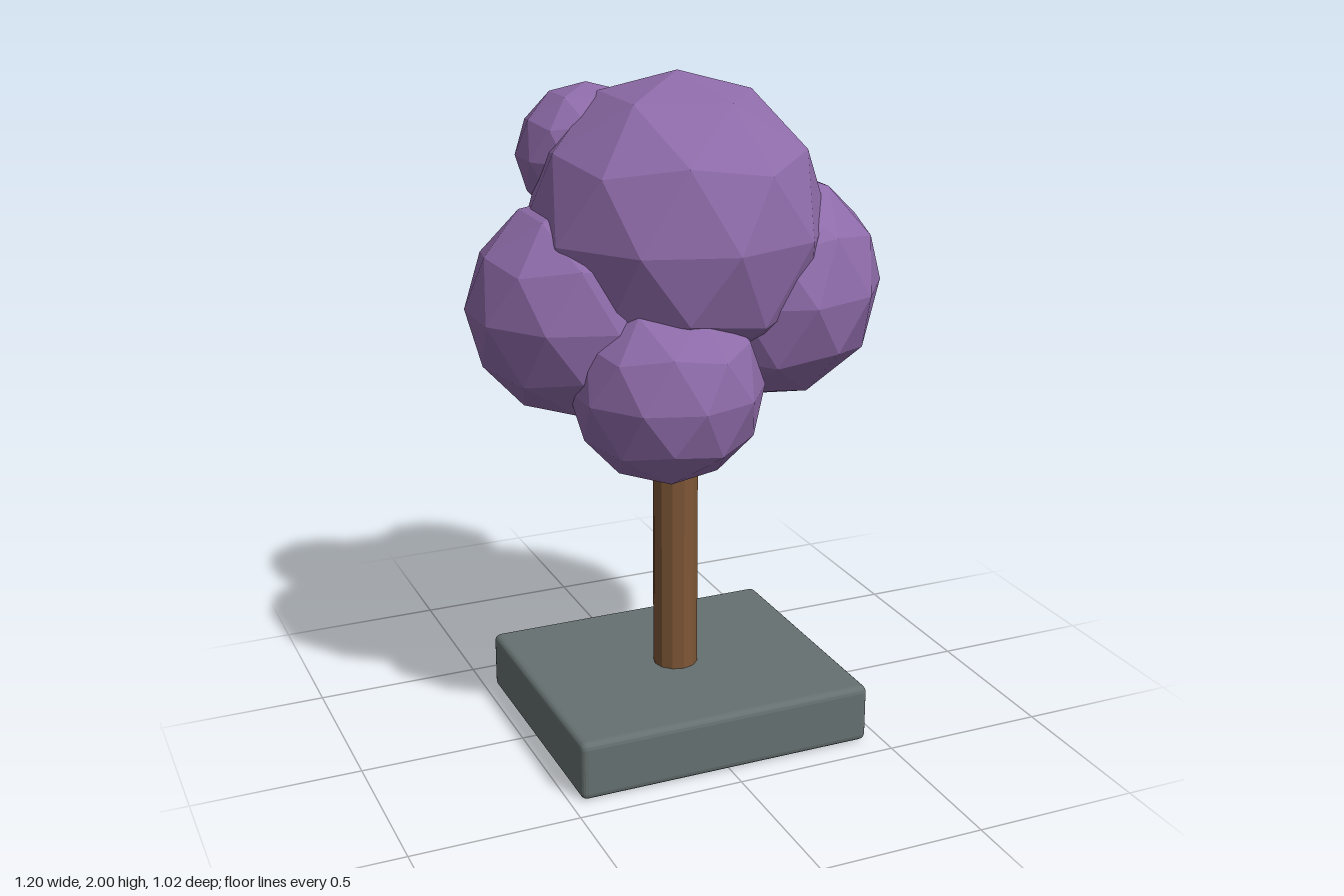
import * as THREE from 'three';
import { RoundedBoxGeometry } from 'three/addons/geometries/RoundedBoxGeometry.js';

export function createModel() {
  const tree = new THREE.Group();
  tree.name = 'tree';

  const material = (name, color, flatShading) => {
    const m = new THREE.MeshStandardMaterial({ color, flatShading });
    m.name = name;
    return m;
  };
  const leaf = material('purple leaves', 0x8e6ba9, true);
  const bark = material('brown bark', 0x7d5636, true);
  const stone = material('grey stone', 0x667070, true);

  const add = (name, geometry, mat, x, y, z) => {
    const mesh = new THREE.Mesh(geometry, mat);
    mesh.name = name;
    mesh.position.set(x, y, z);
    tree.add(mesh);
    return mesh;
  };

  // Slab the tree stands on, with softened edges
  add('base', new RoundedBoxGeometry(0.92, 0.18, 0.8, 2, 0.02), stone, -0.005, 0.09, 0.025);

  // Trunk running up into the crown
  add('trunk', new THREE.CylinderGeometry(0.068, 0.068, 1.13, 12), bark, -0.005, 0.735, 0.025);

  // Crown: faceted balls, each with a corner pointing straight up
  const ball = new THREE.IcosahedronGeometry(1, 1);
  ball.rotateX(-Math.atan((1 + Math.sqrt(5)) / 2));
  ball.rotateY(Math.PI / 2);

  // name, x, y, z, radius, turn
  const clumps = [
    ['crownTop', 0, 1.56, 0.025, 0.44, 0],
    ['crownLeft', 0.27, 1.368, 0.05, 0.345, Math.PI],
    ['crownRight', -0.29, 1.335, -0.02, 0.325, 0],
    ['crownFront', -0.12, 1.145, 0.23, 0.28, 0],
    ['crownBack', 0.02, 1.21, -0.215, 0.3, 0],
    ['crownUpperRight', -0.2, 1.745, -0.17, 0.207, 0],
    ['crownUpperLeft', 0.2, 1.72, -0.19, 0.21, 0],
  ];
  for (const [name, x, y, z, r, turn] of clumps) {
    const clump = add(name, ball, leaf, x, y, z);
    clump.scale.setScalar(r);
    clump.rotation.y = turn;
  }
  return tree;
}
